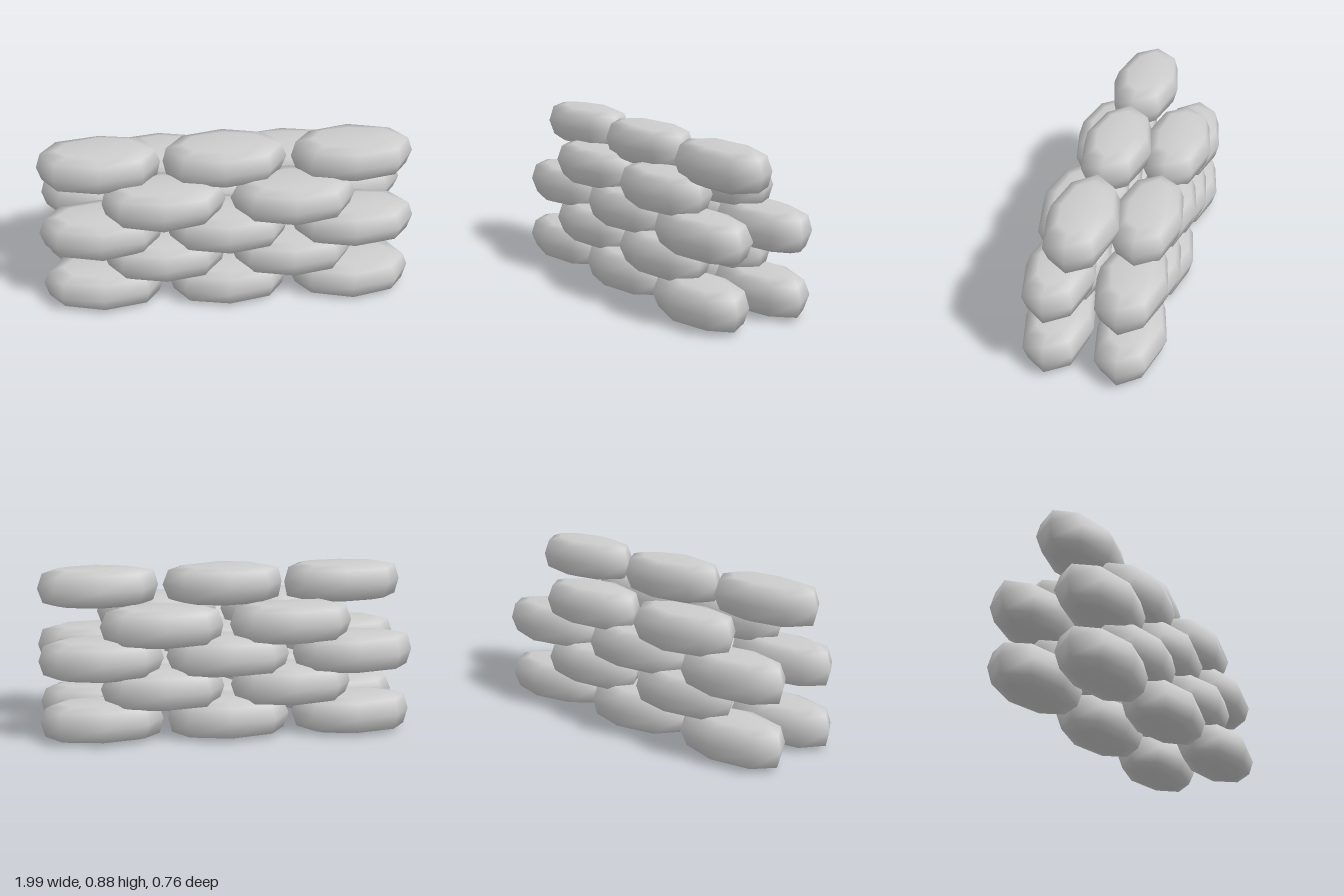
import * as THREE from 'three';

// Plan outline of a bag (x, z) as an octagon with pointed ends
const PLAN = [[0.325, 0], [0.235, 0.13], [0, 0.184], [-0.235, 0.13],
  [-0.325, 0], [-0.235, -0.13], [0, -0.184], [0.235, -0.13]];
// Cross-section rings: height, length scale, width scale
const RINGS = [[-0.1, 0.68, 0.55], [-0.08, 0.92, 0.86], [0, 1, 1], [0.08, 0.92, 0.86], [0.1, 0.68, 0.55]];

function bagGeometry(seed) {
  const rand = () => { seed = (seed * 16807) % 2147483647; return seed / 2147483647 - 0.5; };
  const n = PLAN.length, pos = [], index = [];
  for (const [y, sx, sz] of RINGS) {
    for (const [x, z] of PLAN) {
      pos.push(x * sx + rand() * 0.012, y + rand() * 0.008, z * sz + rand() * 0.01);
    }
  }
  for (let r = 0; r < RINGS.length - 1; r++) {
    for (let i = 0; i < n; i++) {
      const a = r * n + i, b = r * n + (i + 1) % n;
      index.push(a, a + n, b, b, a + n, b + n);
    }
  }
  // Bulging bottom and top caps
  const bottom = pos.length / 3, top = bottom + 1, last = (RINGS.length - 1) * n;
  pos.push(0, -0.104, 0, 0, 0.104, 0);
  for (let i = 0; i < n; i++) {
    const j = (i + 1) % n;
    index.push(bottom, i, j, top, last + j, last + i);
  }
  const g = new THREE.BufferGeometry();
  g.setAttribute('position', new THREE.Float32BufferAttribute(pos, 3));
  g.setIndex(index);
  g.computeVertexNormals();
  return g;
}

export function createModel() {
  const group = new THREE.Group();
  group.name = 'sandbagWall';
  const cloth = new THREE.MeshStandardMaterial({ color: 0xcccccc });
  cloth.name = 'bagCloth';

  // Courses from the ground up: height, bag centres in x, bag centres in z
  const three = [-0.67, 0, 0.67], two = [-0.34, 0.345];
  const courses = [
    [0.107, three, [0.19, -0.19]],
    [0.275, two, [0.187, -0.19]],
    [0.442, three, [0.18, -0.195]],
    [0.61, two, [0.185, -0.197]],
    [0.776, [-0.665, -0.01, 0.67], [0.06]],
  ];
  let count = 0;
  courses.forEach(([y, xs, zs], c) => {
    const course = new THREE.Group();
    course.name = `course${c + 1}`;
    for (const z of zs) {
      for (const x of xs) {
        count++;
        const bag = new THREE.Mesh(bagGeometry(count * 7919), cloth);
        bag.name = `sandbag${count}`;
        bag.position.set(x, y, z);
        bag.rotation.y = (count % 2) * Math.PI;
        course.add(bag);
      }
    }
    group.add(course);
  });
  return group;
}
